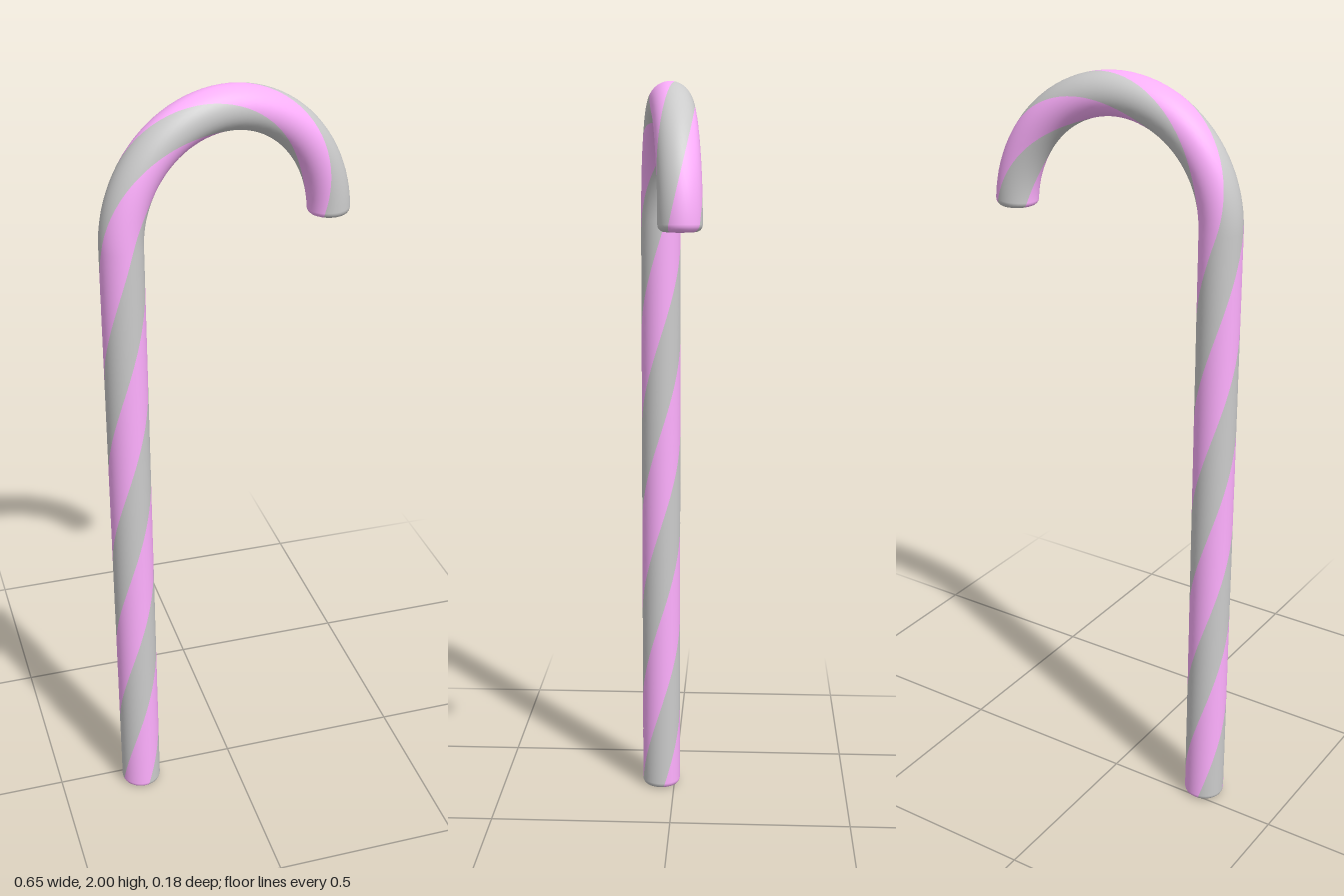
import * as THREE from 'three';

const R = 0.054, BEVEL = 0.016;            // stick radius, rounding of its ends
const STEM = 1.645, RISE = 0.301;          // stem height, height of the hook's arc
const X = 0.273, Z = 0.038;                // stem foot at (-X, Z), hook end at (X, -Z)
const HALF = Math.hypot(X, Z);
const ARC = 0.905, TOTAL = STEM + ARC;     // path lengths
const TWIST = THREE.MathUtils.degToRad(334); // stripe turn per unit of length

const across = new THREE.Vector3(X, 0, -Z).normalize();
const front = new THREE.Vector3(Z, 0, X).normalize();
const up = new THREE.Vector3(0, 1, 0);
const inPlane = (a, y) => across.clone().multiplyScalar(a).addScaledVector(up, y);

// Centre, tangent and outward normal at distance s along the cane
function frameAt(s) {
  if (s <= STEM) return { p: inPlane(-HALF, s), t: inPlane(0, 1), n: inPlane(-1, 0) };
  const t = Math.PI * (s - STEM) / ARC;
  const tx = HALF * Math.sin(t), ty = RISE * Math.cos(t), l = Math.hypot(tx, ty);
  return {
    p: inPlane(-HALF * Math.cos(t), STEM + RISE * Math.sin(t)),
    t: inPlane(tx / l, ty / l),
    n: inPlane(-ty / l, tx / l),
  };
}

// Rings along the cane: distance, radius and lean of the normal toward the tangent
function makeRings() {
  const rings = [], steps = 5, body = 130;
  for (let i = 0; i < steps; i++) {
    const a = (Math.PI / 2) * (1 - i / steps);
    rings.push({ s: BEVEL * (1 - Math.sin(a)), r: R - BEVEL * (1 - Math.cos(a)), lean: -a });
  }
  const foot = rings.slice();
  for (let i = 0; i <= body; i++) {
    rings.push({ s: BEVEL + (TOTAL - 2 * BEVEL) * i / body, r: R, lean: 0 });
  }
  for (const { s, r, lean } of foot.reverse()) rings.push({ s: TOTAL - s, r, lean: -lean });
  return rings;
}

// A quarter-turn ribbon winding round the cane
function stripeGeometry(rings, startAngle) {
  const cols = 8, pos = [], nor = [], index = [];
  rings.forEach(({ s, r, lean }, i) => {
    const f = frameAt(s);
    for (let j = 0; j <= cols; j++) {
      const a = startAngle - TWIST * s + (Math.PI / 2) * j / cols;
      const radial = front.clone().multiplyScalar(Math.cos(a)).addScaledVector(f.n, Math.sin(a));
      pos.push(...f.p.clone().addScaledVector(radial, r).toArray());
      nor.push(...radial.multiplyScalar(Math.cos(lean)).addScaledVector(f.t, Math.sin(lean)).toArray());
      if (i && j) {
        const d = i * (cols + 1) + j, c = d - 1, b = d - cols - 1, e = b - 1;
        index.push(e, c, d, e, d, b);
      }
    }
  });
  const g = new THREE.BufferGeometry();
  g.setAttribute('position', new THREE.Float32BufferAttribute(pos, 3));
  g.setAttribute('normal', new THREE.Float32BufferAttribute(nor, 3));
  g.setIndex(index);
  return g;
}

export function createModel() {
  const group = new THREE.Group();
  group.name = 'candyCane';
  const grey = new THREE.MeshStandardMaterial({ color: 0xcccccc });
  const pink = new THREE.MeshStandardMaterial({ color: 0xffb0ff });
  const add = (name, geometry, material) => {
    const mesh = new THREE.Mesh(geometry, material);
    mesh.name = name;
    group.add(mesh);
    return mesh;
  };

  // Two pink and two grey stripes, alternating round the stick
  const rings = makeRings();
  for (let k = 0; k < 4; k++) {
    const isPink = k % 2 === 0;
    add((isPink ? 'pinkStripe' : 'greyStripe') + (1 + (k >> 1)),
      stripeGeometry(rings, k * Math.PI / 2), isPink ? pink : grey);
  }

  // Flat ends, both facing down
  for (const [name, s] of [['stemEnd', 0], ['hookEnd', TOTAL]]) {
    const cap = new THREE.CircleGeometry(R - BEVEL, 32).rotateX(Math.PI / 2);
    add(name, cap, grey).position.copy(frameAt(s).p);
  }
  return group;
}
